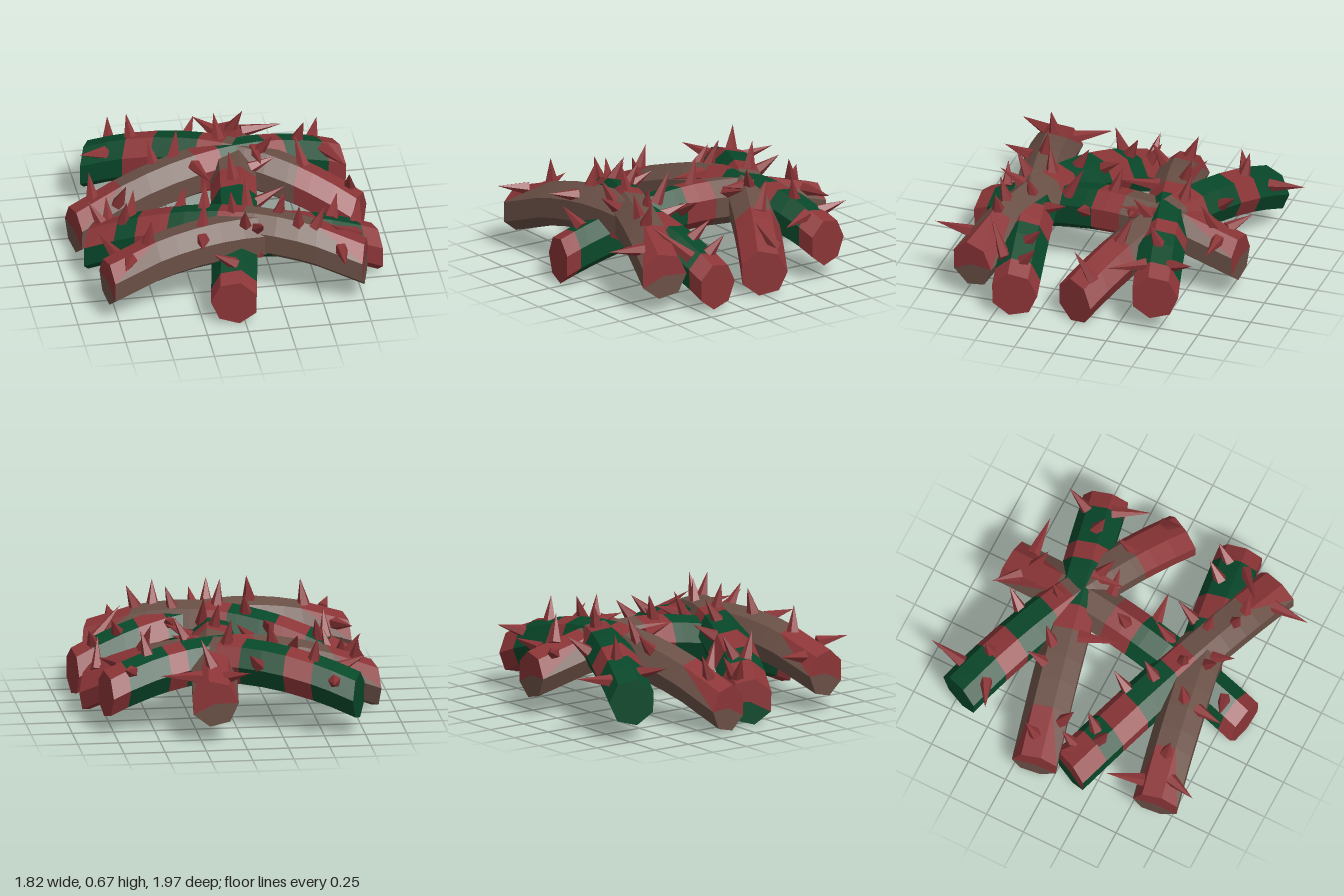
import * as THREE from 'three';
import { mergeGeometries } from 'three/addons/utils/BufferGeometryUtils.js';

const RADIUS = 0.145, SIDES = 7, SEGMENTS = 12;
const COLOURS = [['red', 0x8c3537], ['green', 0x08482a], ['brown', 0x6a5046]];
const [RED, GREEN, BROWN] = [0, 1, 2];
const UP = new THREE.Vector3(0, 1, 0);

const v = (p) => new THREE.Vector3(...p);

// Seven-sided arched stem with upright cross-sections.
// Each band is [end, colour, optional colour of its underside]
function stemGeometry(curve, bands) {
  const buckets = [[], [], []];
  const angle = (j) => 0.25 + (j / SIDES) * Math.PI * 2;
  const add = (t, a, ...pts) => {
    const [, colour, under = colour] = bands.find(([end]) => t <= end);
    // The upper colour reaches lower down towards the stem's end
    const isUpper = Math.cos(a) > Math.min(0.97, 12 * Math.min(t, 1 - t) - 0.4);
    pts.forEach((p) => buckets[isUpper ? colour : under].push(p.x, p.y, p.z));
  };

  // Rings at every band edge, and at even steps outside the two-coloured bands
  const ends = [0, ...bands.map(([end]) => end)];
  const steps = [...ends];
  for (let i = 1; i < SEGMENTS; i++) {
    const t = i / SEGMENTS;
    const band = bands.find(([end]) => t <= end);
    if (band.length < 3 && ends.every((e) => Math.abs(e - t) > 0.03)) steps.push(t);
  }
  steps.sort((a, b) => a - b);
  const rings = steps.map((t) => {
    const c = curve.getPoint(t);
    const side = curve.getTangent(t).cross(UP).normalize();
    const ring = [];
    for (let j = 0; j <= SIDES; j++) {
      ring.push(c.clone()
        .addScaledVector(UP, RADIUS * Math.cos(angle(j)))
        .addScaledVector(side, RADIUS * Math.sin(angle(j))));
    }
    return { t, c, ring };
  });

  const first = rings[0], last = rings[rings.length - 1];
  for (let j = 0; j < SIDES; j++) {
    const a = angle(j + 0.5);
    for (let i = 0; i < rings.length - 1; i++) {
      const p = rings[i].ring, q = rings[i + 1].ring;
      const t = rings[i].t, dt = rings[i + 1].t - t;
      const near = t + dt / 3, far = t + dt * 2 / 3;
      // Diagonals run from the top inwards to the bottom outwards
      if ((near < 0.5) === (a < Math.PI)) {
        add(near, a, p[j], p[j + 1], q[j]);
        add(far, a, p[j + 1], q[j + 1], q[j]);
      } else {
        add(near, a, p[j], p[j + 1], q[j + 1]);
        add(far, a, p[j], q[j + 1], q[j]);
      }
    }
    add(0, a, first.c, first.ring[j + 1], first.ring[j]);
    add(1, a, last.c, last.ring[j], last.ring[j + 1]);
  }
  const g = new THREE.BufferGeometry();
  g.setAttribute('position', new THREE.Float32BufferAttribute(buckets.flat(), 3));
  let start = 0;
  buckets.forEach((b, m) => {
    if (b.length) g.addGroup(start, b.length / 3, m);
    start += b.length / 3;
  });
  g.computeVertexNormals();
  return g;
}

// Thorn standing on the stem, from base (x, z) to tip (x, z)
function thornGeometry(curve, [bx, bz, tx, tz]) {
  const lift = (x, z, r, least) => {
    let best = Infinity, y = 0;
    for (let i = 0; i <= 60; i++) {
      const c = curve.getPoint(i / 60), d = Math.hypot(c.x - x, c.z - z);
      if (d < best) { best = d; y = c.y; }
    }
    return y + Math.sqrt(Math.max(r * r - best * best, least));
  };
  const base = new THREE.Vector3(bx, lift(bx, bz, RADIUS * 0.85, 0.001), bz);
  const tip = new THREE.Vector3(tx, lift(tx, tz, 0.285, 0.016), tz);
  const dir = tip.clone().sub(base);
  const len = dir.length();
  const g = new THREE.ConeGeometry(0.042, len, 5, 1).toNonIndexed();
  g.computeVertexNormals();
  g.translate(0, len / 2, 0);
  g.applyQuaternion(new THREE.Quaternion().setFromUnitVectors(UP, dir.normalize()));
  g.translate(base.x, base.y, base.z);
  return g;
}

export function createModel() {
  const model = new THREE.Group();
  model.name = 'thornyStems';
  const materials = COLOURS.map(([name, color]) => {
    const m = new THREE.MeshStandardMaterial({ color });
    m.name = name;
    return m;
  });

  function stem(name, from, mid, to, bands, thorns) {
    const a = v(from), b = v(to);
    const control = v(mid).multiplyScalar(2).sub(a.clone().add(b).multiplyScalar(0.5));
    const curve = new THREE.QuadraticBezierCurve3(a, control, b);
    const group = new THREE.Group();
    group.name = name;
    const body = new THREE.Mesh(stemGeometry(curve, bands), materials);
    body.name = name + 'Body';
    const spikes = new THREE.Mesh(mergeGeometries(thorns.map((t) => thornGeometry(curve, t))), materials[RED]);
    spikes.name = name + 'Thorns';
    group.add(body, spikes);
    model.add(group);
  }

  // Rear pair of crossing stems
  stem('rearStemA', [-0.715, 0.23, -0.71], [0.08, 0.385, -0.37], [0.84, 0.14, 0.01],
    [[0.15, GREEN], [0.25, RED], [0.41, GREEN], [0.5, RED], [0.78, BROWN], [1, RED]],
    [[-0.56, -0.76, -0.53, -0.99], [-0.61, -0.58, -0.78, -0.5], [-0.45, -0.63, -0.47, -0.66],
      [-0.12, -0.6, -0.05, -0.71], [0.05, -0.42, 0.03, -0.46], [0.27, -0.27, 0.35, -0.2],
      [0.53, -0.17, 0.49, -0.25], [0.8, -0.1, 0.78, 0.03]]);
  stem('rearStemB', [-0.88, 0.14, -0.11], [-0.01, 0.38, -0.305], [0.795, 0.23, -0.485],
    [[0.16, RED, BROWN], [0.43, BROWN], [0.52, RED], [0.7, GREEN], [0.77, RED], [0.93, GREEN], [1, RED]],
    [[-0.76, -0.17, -0.77, -0.23], [-0.62, -0.07, -0.58, 0.0], [-0.36, -0.31, -0.38, -0.42],
      [-0.24, -0.32, -0.21, -0.38], [-0.13, -0.2, -0.07, 0.05], [0.25, -0.3, 0.26, -0.08],
      [0.53, -0.42, 0.57, -0.38], [0.64, -0.53, 0.7, -0.69], [0.69, -0.4, 0.8, -0.18]]);

  // Front pair of crossing stems
  stem('frontStemA', [-0.82, 0.14, 0.09], [0, 0.385, 0.43], [0.765, 0.23, 0.69],
    [[0.1, RED, GREEN], [0.17, GREEN], [0.28, RED], [0.45, GREEN], [0.54, RED], [0.82, BROWN], [1, RED, BROWN]],
    [[-0.74, 0.06, -0.82, 0.03], [-0.7, 0.06, -0.7, -0.02], [-0.58, 0.15, -0.55, 0.08],
      [-0.63, 0.2, -0.62, 0.25], [-0.29, 0.22, -0.24, 0.09], [-0.16, 0.33, -0.14, 0.25],
      [0, 0.44, -0.02, 0.46], [0.12, 0.58, 0.14, 0.72], [0.37, 0.6, 0.37, 0.64],
      [0.47, 0.62, 0.53, 0.62], [0.61, 0.74, 0.6, 0.98]]);
  stem('frontStemB', [-0.805, 0.23, 0.67], [0.02, 0.38, 0.52], [0.885, 0.14, 0.38],
    [[0.18, RED, BROWN], [0.58, BROWN], [0.68, GREEN], [0.78, RED], [0.94, GREEN], [1, RED]],
    [[-0.73, 0.55, -0.81, 0.33], [-0.55, 0.61, -0.53, 0.63], [-0.67, 0.7, -0.73, 0.88],
      [-0.21, 0.56, -0.19, 0.53], [-0.22, 0.65, -0.25, 0.83], [0.05, 0.57, 0.04, 0.65],
      [0.29, 0.38, 0.34, 0.23], [0.26, 0.47, 0.31, 0.49], [0.61, 0.38, 0.66, 0.28],
      [0.76, 0.36, 0.8, 0.27], [0.75, 0.48, 0.56, 0.64]]);

  // Stem running front to back beneath the crossings
  stem('middleStem', [-0.065, 0.14, 0.89], [0.08, 0.365, 0.02], [0.175, 0.24, -0.82],
    [[0.05, RED], [0.45, GREEN], [0.56, RED], [0.79, BROWN], [1, RED, BROWN]],
    [[0.09, -0.71, -0.04, -0.83], [0.24, -0.7, 0.49, -0.71], [0.16, -0.65, 0.23, -0.59],
      [0.18, 0.16, 0.36, 0.16], [0.07, 0.02, 0.05, -0.03], [0.2, -0.15, 0.36, -0.17],
      [0.11, 0.3, 0.11, 0.2], [0.12, 0.6, 0.2, 0.61], [-0.04, 0.74, -0.18, 0.78]]);

  // Rest the lowest point on the ground
  const low = new THREE.Box3().setFromObject(model, true).min.y;
  model.children.forEach((g) => { g.position.y -= low; });
  return model;
}
